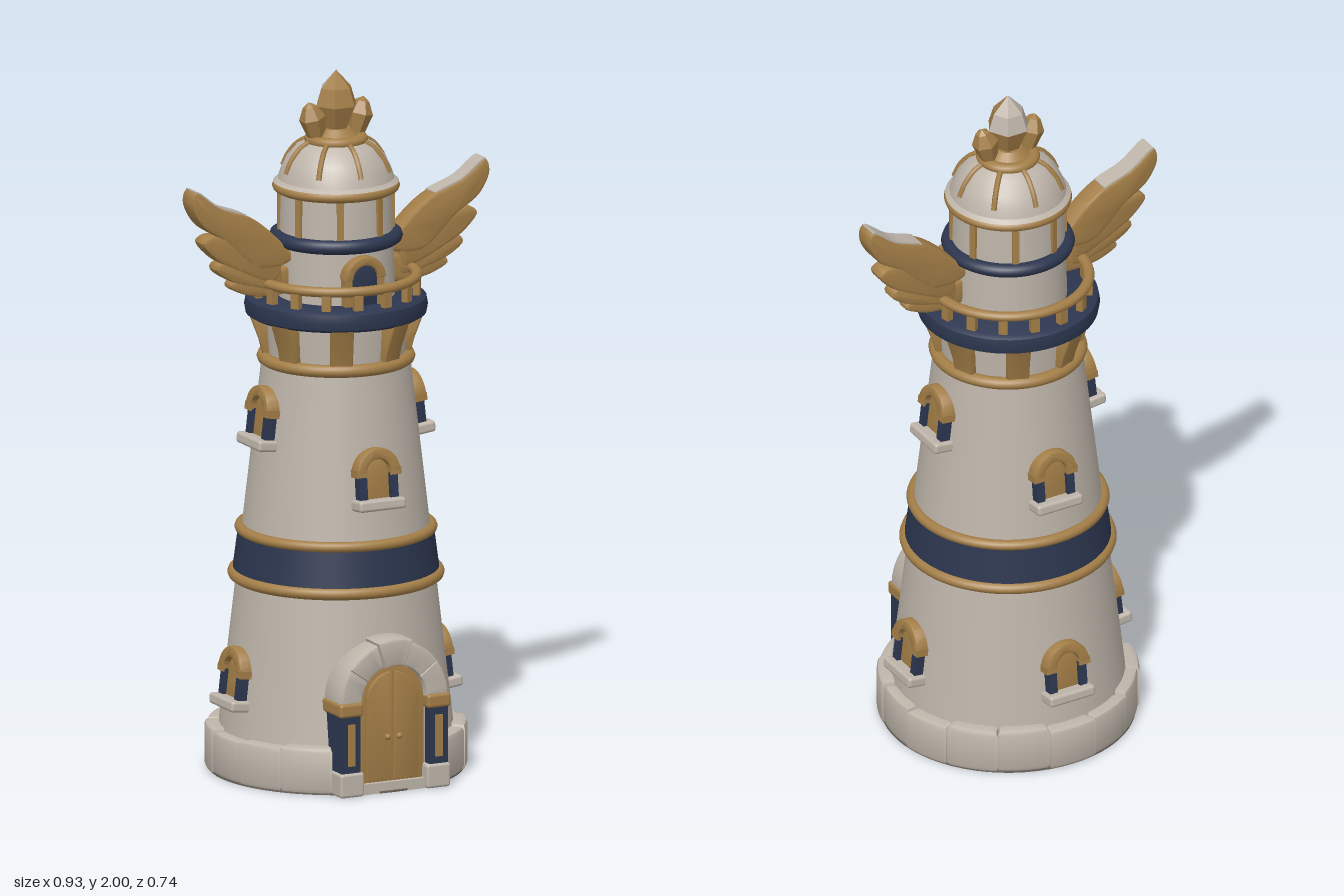
import * as THREE from 'three';
import { toCreasedNormals } from 'three/addons/utils/BufferGeometryUtils.js';
import { RoundedBoxGeometry } from 'three/addons/geometries/RoundedBoxGeometry.js';

const paint = (name, color) => {
  const m = new THREE.MeshStandardMaterial({ color });
  m.name = name;
  return m;
};

export function createModel() {
  const stone = paint('stone', 0xbeb5aa);
  const gold = paint('gold', 0xa37e47);
  const navy = paint('navy', 0x2c364f);
  const dark = paint('darkUnderside', 0x6e655e);
  const root = new THREE.Group();
  root.name = 'lighthouse';

  // ---- helpers ----
  const add = (parent, name, geo, mat, x = 0, y = 0, z = 0) => {
    const m = new THREE.Mesh(geo, mat);
    m.name = name;
    m.position.set(x, y, z);
    parent.add(m);
    return m;
  };
  const group = (parent, name, angle = 0) => {
    const g = new THREE.Group();
    g.name = name;
    g.rotation.y = angle;
    parent.add(g);
    return g;
  };
  const box = (w, h, d) => new THREE.BoxGeometry(w, h, d);
  const softBox = (w, h, d) => new RoundedBoxGeometry(w, h, d, 2, 0.009);
  const vectors = pts => pts.map(p => new THREE.Vector2(...p));
  // Bevelled slab that keeps its outline, from z = 0 to z = depth
  const slab = (shape, depth, b = 0.008, curveSegments = 10) => {
    const g = new THREE.ExtrudeGeometry(shape, {
      depth: depth - 2 * b, bevelEnabled: true, bevelThickness: b, bevelSize: b,
      bevelOffset: -b, bevelSegments: 2, curveSegments });
    return toCreasedNormals(g.translate(0, 0, b), 0.7);
  };
  const sector = (r0, r1, a0, a1) => {
    const s = new THREE.Shape();
    s.absarc(0, 0, r1, a0, a1, false);
    s.absarc(0, 0, r0, a1, a0, true);
    s.closePath();
    return s;
  };
  // Round-topped panel standing on y = 0
  const archPanel = (halfWidth, springY) => {
    const s = new THREE.Shape();
    s.moveTo(-halfWidth, 0);
    s.lineTo(halfWidth, 0);
    s.lineTo(halfWidth, springY);
    s.absarc(0, springY, halfWidth, 0, Math.PI, false);
    s.closePath();
    return s;
  };
  const lathe = (pts, seg = 64) =>
    toCreasedNormals(new THREE.LatheGeometry(vectors(pts), seg), 0.6);
  const ring = (name, r, y, tube, height, mat) => {
    const m = add(root, name, new THREE.TorusGeometry(r, tube, 10, 64), mat, 0, y);
    m.rotation.x = Math.PI / 2;
    m.scale.z = height / (2 * tube);
  };
  const wallR = y => 0.343 - 0.115 * y;

  // ---- tower and bands ----
  add(root, 'towerWall', new THREE.CylinderGeometry(wallR(1.18), wallR(0), 1.18, 64), stone, 0, 0.59);
  add(root, 'blueBand', new THREE.CylinderGeometry(0.274, 0.291, 0.13, 64), navy, 0, 0.622);
  ring('lowerBandRing', 0.285, 0.56, 0.019, 0.034, gold);
  ring('upperBandRing', 0.267, 0.69, 0.017, 0.03, gold);

  // ---- foundation stones, open at the door ----
  const count = 13, gap = 0.5, step = (2 * Math.PI - 2 * gap) / count;
  for (let i = 0; i < count; i++) {
    const a = -Math.PI / 2 + gap + i * step;
    const r = 0.364 + 0.004 * Math.sin(i * 2.3);
    const m = add(root, 'foundationStone', slab(sector(0.25, r, a, a + step),
      0.128 + 0.006 * Math.sin(i * 1.7), 0.014, 8), stone, 0, 0.002);
    m.rotation.x = -Math.PI / 2;
  }
  add(root, 'underside', new THREE.CylinderGeometry(0.358, 0.358, 0.006, 64), dark, 0, 0.003);

  // ---- entrance ----
  const door = group(root, 'entrance');
  add(door, 'doorSurround', slab(archPanel(0.112, 0.26), 0.085, 0.004), stone, 0, 0, 0.25);
  add(door, 'doorFrame', slab(archPanel(0.104, 0.255), 0.09, 0.005), gold, 0, 0.005, 0.25);
  for (const s of [-1, 1]) {
    // Half-arched door leaf
    const leaf = new THREE.Shape();
    leaf.moveTo(s * 0.004, 0);
    leaf.lineTo(s * 0.08, 0);
    leaf.lineTo(s * 0.08, 0.23);
    leaf.absarc(0, 0.23, 0.08, s > 0 ? 0 : Math.PI, Math.PI / 2 - s * 0.05, s < 0);
    leaf.closePath();
    add(door, 'doorLeaf', slab(leaf, 0.016, 0.004), gold, 0, 0.035, 0.336);
    add(door, 'doorHandle', new THREE.SphereGeometry(0.009, 10, 8), gold, s * 0.018, 0.16, 0.355);
    // Pillar
    add(door, 'pillarFoot', softBox(0.075, 0.07, 0.11), stone, s * 0.135, 0.035, 0.316);
    add(door, 'pillarShaft', box(0.058, 0.17, 0.1), navy, s * 0.137, 0.15, 0.314);
    add(door, 'pillarInlay', box(0.022, 0.12, 0.006), gold, s * 0.137, 0.15, 0.365);
    add(door, 'pillarCap', softBox(0.074, 0.04, 0.13), gold, s * 0.137, 0.25, 0.306);
  }
  for (let i = 0; i < 5; i++) {
    const a = i * Math.PI / 5, key = i === 2;
    add(door, 'archStone', slab(sector(0.1, key ? 0.177 : 0.168, a, a + Math.PI / 5),
      key ? 0.122 : 0.112, 0.007, 6), stone, 0, 0.265, 0.25);
  }
  add(door, 'doorstep', box(0.2, 0.03, 0.1), stone, 0, 0.015, 0.305);

  // ---- windows: [sill height, angle] ----
  const H = Math.PI / 2;
  const windows = [[0.79, 0], [0.79, 2 * H], [0.2, 2 * H], [0.2, H], [0.2, -H], [0.94, H], [0.94, -H]];
  for (const [y, angle] of windows) {
    const w = group(group(root, 'windowMount', angle), 'window');
    w.position.set(0, y, wallR(y));
    w.rotation.x = -0.115;
    add(w, 'windowSill', softBox(0.146, 0.032, 0.08), stone, 0, 0.016, 0.005);
    add(w, 'windowPane', slab(archPanel(0.042, 0.075), 0.04, 0.003), gold, 0, 0.03, -0.03);
    add(w, 'windowArch', slab(sector(0.036, 0.068, 0, Math.PI), 0.07, 0.007), gold, 0, 0.108, -0.04);
    for (const s of [-1, 1]) {
      add(w, 'windowPost', box(0.024, 0.075, 0.06), navy, s * 0.048, 0.067, -0.008);
      add(w, 'windowCap', box(0.034, 0.022, 0.068), gold, s * 0.053, 0.107, -0.006);
    }
  }

  // ---- gallery ----
  ring('galleryBaseRing', 0.202, 1.18, 0.02, 0.036, gold);
  add(root, 'galleryWall', new THREE.CylinderGeometry(0.2, 0.192, 0.14, 48), stone, 0, 1.245);
  const corbel = new THREE.Shape(vectors(
    [[0.16, 1.19], [0.207, 1.19], [0.217, 1.23], [0.245, 1.305], [0.16, 1.305]]));
  for (let i = 0; i < 8; i++) {
    const g = group(root, 'corbelMount', (i + 0.5) * Math.PI / 4);
    add(g, 'corbel', slab(corbel, 0.064, 0.006), gold, 0, 0, -0.032);
  }
  add(root, 'galleryDeck', lathe([[0, 1.3], [0.24, 1.3], [0.253, 1.308], [0.257, 1.33],
    [0.253, 1.352], [0.24, 1.36], [0, 1.36]]), navy);
  for (let i = 0; i < 16; i++) {
    const g = group(root, 'balusterMount', (i + 0.5) * Math.PI / 8);
    add(g, 'baluster', box(0.026, 0.06, 0.02), gold, 0, 1.385, 0.227);
  }
  ring('galleryRail', 0.226, 1.413, 0.016, 0.028, gold);

  // ---- lantern room ----
  add(root, 'lanternWall', new THREE.CylinderGeometry(0.155, 0.166, 0.33, 48), stone, 0, 1.515);
  ring('lanternBlueRing', 0.166, 1.527, 0.021, 0.04, navy);
  ring('lanternGoldRing', 0.16, 1.67, 0.019, 0.032, gold);
  add(root, 'lanternDoor', slab(archPanel(0.042, 0.08), 0.03, 0.003), navy, 0, 1.36, 0.147);
  add(root, 'lanternDoorArch', slab(sector(0.038, 0.064, 0, Math.PI), 0.05, 0.006), gold, 0, 1.437, 0.138);
  for (const s of [-1, 1])
    add(root, 'lanternDoorPost', box(0.022, 0.08, 0.04), gold, s * 0.05, 1.4, 0.16);

  // ---- dome flaring over its ring, with ribs ----
  const dome = [[0.176, 1.682], [0.163, 1.692], [0.156, 1.715], [0.14, 1.75], [0.11, 1.785], [0.07, 1.805]];
  add(root, 'dome', lathe(dome, 48), stone);
  const rib = new THREE.TubeGeometry(new THREE.CatmullRomCurve3(
    dome.slice(2).map(([r, y]) => new THREE.Vector3(0, y, r))), 12, 0.008, 6);
  for (let i = 0; i < 8; i++) {
    add(group(root, 'ribMount', i * Math.PI / 4), 'domeRib', rib, gold);
    add(group(root, 'mullionMount', (i + 0.5) * Math.PI / 4), 'lanternMullion',
      box(0.02, 0.13, 0.018), gold, 0, 1.6, 0.156);
  }

  // ---- crown and faceted finial, pale on its upper back facets ----
  ring('crownRing', 0.07, 1.803, 0.02, 0.03, gold);
  add(root, 'crownPlate', new THREE.CylinderGeometry(0.04, 0.072, 0.03, 24), gold, 0, 1.82);
  const gem = (pts, start = 0, sweep = 2 * Math.PI, sides = 6) => {
    const g = new THREE.LatheGeometry(vectors(pts), sides, start, sweep).toNonIndexed();
    g.computeVertexNormals();
    return g;
  };
  const gemTop = [[0.062, 1.9], [0.046, 1.95], [0, 2]];
  add(root, 'finialBase', gem([[0.024, 1.81], [0.062, 1.9]], H), gold);
  add(root, 'finialFront', gem(gemTop, -H, Math.PI, 3), gold);
  add(root, 'finialBack', gem(gemTop, H, Math.PI, 3), stone);
  for (const s of [-1, 1]) {
    const m = add(root, 'sideGem', gem([[0.024, 0], [0.038, 0.06], [0.02, 0.095], [0, 0.108]]), gold, s * 0.06, 1.81);
    m.rotation.z = -s * 0.24;
  }

  // ---- wings of four overlapping feathers, pale along the upper tip ----
  const feathers = [
    [[0.15, 1.48], [0.2, 1.545], [0.28, 1.61], [0.38, 1.65], [0.455, 1.7], [0.467, 1.665], [0.435, 1.602], [0.36, 1.55], [0.25, 1.46]],
    [[0.19, 1.5], [0.3, 1.545], [0.405, 1.568], [0.43, 1.55], [0.395, 1.505], [0.33, 1.465], [0.2, 1.42]],
    [[0.19, 1.47], [0.3, 1.48], [0.375, 1.488], [0.388, 1.47], [0.355, 1.44], [0.28, 1.41], [0.19, 1.4]],
    [[0.15, 1.45], [0.25, 1.44], [0.33, 1.432], [0.342, 1.415], [0.3, 1.39], [0.24, 1.377], [0.16, 1.385]],
  ];
  for (const [name, turn] of [['leftWing', 0], ['rightWing', Math.PI]]) {
    const wing = group(root, name, turn);
    feathers.forEach((pts, i) => {
      const curve = new THREE.CatmullRomCurve3(pts.map(([x, y]) => new THREE.Vector3(x, y, 0)), true);
      const line = curve.getPoints(54).slice(0, -1).map(p => [p.x, p.y]);
      const t = 0.07 - i * 0.007;
      add(wing, 'feather', slab(new THREE.Shape(vectors(line)), t, 0.01), gold, 0, 0, -t / 2);
      if (i > 0) return;
      const edge = line.slice(13, 25);
      const strip = [...edge.map(([x, y]) => [x, y + 0.003]), ...edge.reverse().map(([x, y]) => [x, y - 0.005])];
      add(wing, 'paleEdge', new THREE.ExtrudeGeometry(new THREE.Shape(vectors(strip)),
        { depth: 0.058, bevelEnabled: false }), stone, 0, 0, -0.029);
    });
  }
  return root;
}
